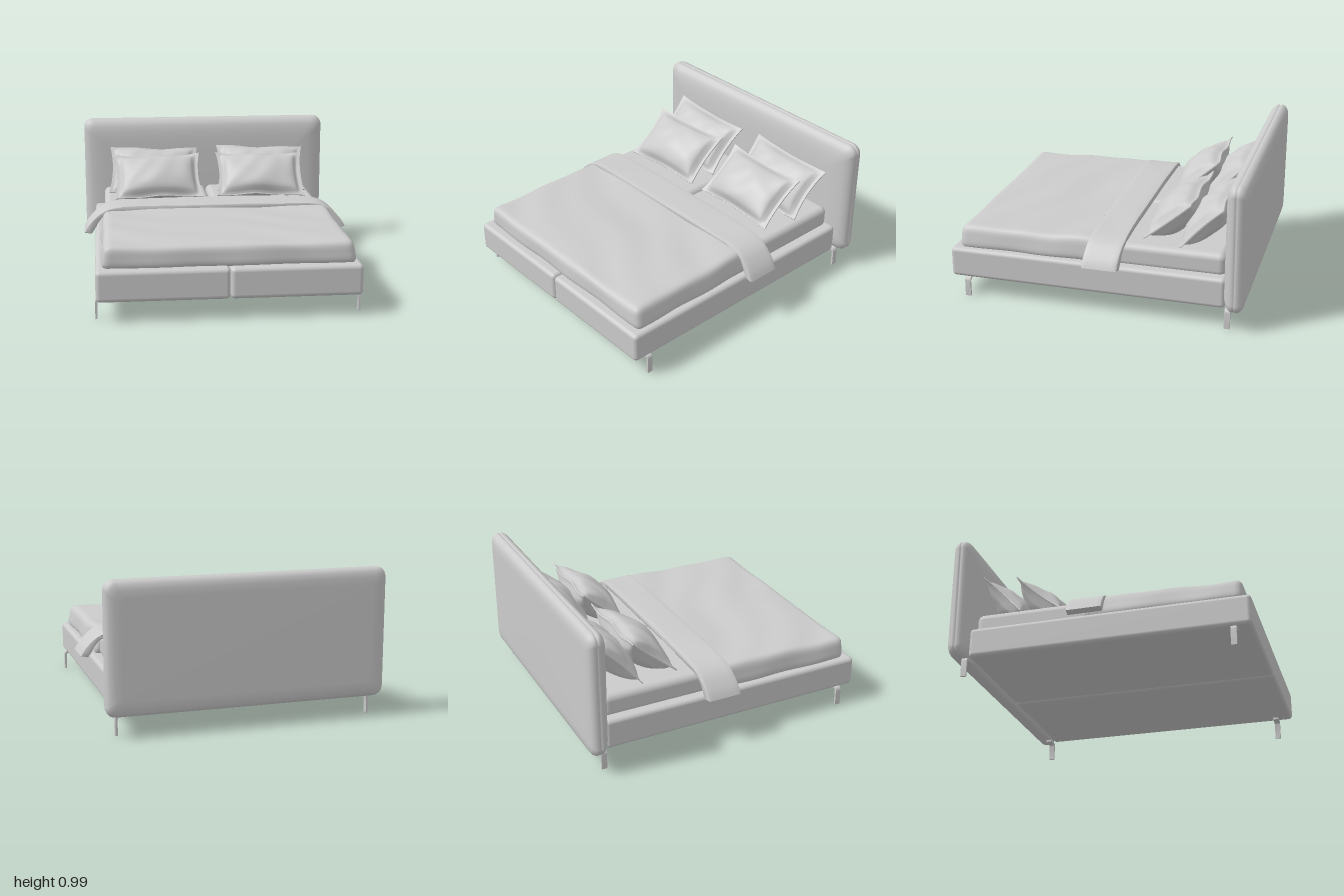
import * as THREE from 'three';
import { mergeVertices, toCreasedNormals } from 'three/addons/utils/BufferGeometryUtils.js';
import { RoundedBoxGeometry } from 'three/addons/geometries/RoundedBoxGeometry.js';

const grey = new THREE.MeshStandardMaterial({ color: 0xcccccc, side: THREE.DoubleSide });
const clamp = THREE.MathUtils.clamp;

function add(parent, name, geometry, x = 0, y = 0, z = 0) {
  const mesh = new THREE.Mesh(geometry, grey);
  mesh.name = name;
  mesh.position.set(x, y, z);
  parent.add(mesh);
  return mesh;
}

// Moves every vertex by a rule and refreshes the normals
function deform(geometry, rule) {
  const p = geometry.attributes.position, v = new THREE.Vector3();
  for (let i = 0; i < p.count; i++) {
    rule(v.fromBufferAttribute(p, i));
    p.setXYZ(i, v.x, v.y, v.z);
  }
  geometry.computeVertexNormals();
  return geometry;
}

// Finely divided box with rounded edges, welded so that it shades smoothly
function softBox(w, h, d, r, nx, ny, nz, rule) {
  let g = new THREE.BoxGeometry(w, h, d, nx, ny, nz);
  g.deleteAttribute('uv');
  g.deleteAttribute('normal');
  g = mergeVertices(g);
  const inner = new THREE.Vector3(), lim = new THREE.Vector3(w / 2 - r, h / 2 - r, d / 2 - r);
  return deform(g, (v) => {
    inner.copy(v).clamp(lim.clone().negate(), lim);
    v.sub(inner);
    const m = Math.max(Math.abs(v.x), Math.abs(v.y), Math.abs(v.z));
    if (m > 0) v.setLength(m);
    v.add(inner);
    rule(v);
  });
}

// Upholstered panel: rounded-rectangle rings stacked along z, each [z, inset]
function cushionPanel(halfW, y0, y1, radius, profile) {
  const pos = [], idx = [], perCorner = 10, n = perCorner * 4;
  const cy = (y0 + y1) / 2, halfH = (y1 - y0) / 2;
  for (const [z, inset] of profile) {
    const r = Math.max(radius - inset * 0.3, 0.02);
    for (let i = 0; i < n; i++) {
      const c = Math.floor(i / perCorner);
      const a = (c + (i % perCorner) / (perCorner - 1)) * Math.PI / 2;
      const sx = c === 0 || c === 3 ? 1 : -1, sy = c < 2 ? 1 : -1;
      pos.push(sx * (halfW - inset - r) + r * Math.cos(a), cy + sy * (halfH - inset - r) + r * Math.sin(a), z);
    }
  }
  for (let k = 0; k < profile.length - 1; k++) {
    for (let i = 0; i < n; i++) {
      const a = k * n + i, b = k * n + (i + 1) % n;
      idx.push(a, b, b + n, a, b + n, a + n);
    }
  }
  const last = (profile.length - 1) * n, c0 = pos.length / 3;
  pos.push(0, cy, profile[0][0], 0, cy, profile[profile.length - 1][0]);
  for (let i = 0; i < n; i++) {
    const j = (i + 1) % n;
    idx.push(c0, j, i, c0 + 1, last + i, last + j);
  }
  const g = new THREE.BufferGeometry();
  g.setAttribute('position', new THREE.Float32BufferAttribute(pos, 3));
  g.setIndex(idx);
  g.computeVertexNormals();
  return g;
}

// Pillow with a flat flange, pinched sides and a slumped underside
function pillow({ w, h, front, back, tilt, roll, x, y, z, minZ, seed }) {
  const g = new THREE.BoxGeometry(2, 2, 2, 40, 30, 1);
  const turn = new THREE.Euler(-tilt, 0, roll, 'XYZ');
  return deform(g, (p) => {
    const u = p.x, v = p.y, side = Math.sign(p.z);
    const iu = clamp(u / 0.9, -1, 1), iv = clamp(v / 0.88, -1, 1);
    const bulge = Math.pow((1 - iu * iu) * (1 - iv * iv), 0.42) * (1 - 0.12 * v);
    const crease = 0.006 * bulge * Math.sin(7 * u + 5 * v * u + seed) * Math.sin(4 * v - 3 * u + seed * 2);
    const wave = 0.008 * Math.sin(6 * u + seed) * v * v;
    p.set(
      w / 2 * u * (1 - 0.07 * (1 - v * v)),
      h / 2 * v * (1 - 0.08 * (1 - u * u)),
      side * (0.004 + bulge * (side > 0 ? front : back)) + crease + wave
    );
    p.applyEuler(turn);
    p.set(p.x + x, Math.max(p.y + y, 0.474 + 0.008 * (side + 1) / 2), Math.max(p.z + z, minZ));
  });
}

// Throw: draped strip cross-section
function throwGeometry() {
  const upper = [[0.922, 0.345], [0.895, 0.39], [0.85, 0.44], [0.8, 0.478], [0.73, 0.503], [0.6, 0.514], [0.3, 0.518]];
  const lower = [[0.3, 0.485], [0.6, 0.483], [0.72, 0.478], [0.79, 0.46], [0.83, 0.42], [0.855, 0.375], [0.88, 0.338]];
  const smooth = (pts) => new THREE.SplineCurve(pts.map(([x, y]) => new THREE.Vector2(x, y))).getPoints(24);
  const flip = (pts) => pts.map((p) => new THREE.Vector2(-p.x, p.y)).reverse();
  const up = smooth(upper), low = smooth(lower);
  const shape = new THREE.Shape([...up, ...flip(up), ...flip(low), ...low]);
  const g = new THREE.ExtrudeGeometry(shape, {
    depth: 0.22, steps: 8, bevelEnabled: true, bevelThickness: 0.008, bevelSize: 0.005, bevelSegments: 2
  });
  deform(g, (v) => {
    const hang = clamp((Math.abs(v.x) - 0.76) / 0.16, 0, 1);
    v.z += -0.188 + 0.018 * hang;
    v.y += 0.003 * Math.sin(v.x * 9 + v.z * 12) * (1 - hang);
  });
  return toCreasedNormals(g, 0.7);
}

// Leg: bent flat bar, its foot outside and its mounting tab inside
function legGeometry() {
  const s = new THREE.Shape();
  s.moveTo(0.77, 0.135);
  s.lineTo(0.83, 0.135);
  s.quadraticCurveTo(0.857, 0.135, 0.857, 0.1);
  s.lineTo(0.857, 0);
  s.lineTo(0.843, 0);
  s.lineTo(0.843, 0.1);
  s.quadraticCurveTo(0.843, 0.12, 0.825, 0.12);
  s.lineTo(0.77, 0.12);
  s.closePath();
  const g = new THREE.ExtrudeGeometry(s, { depth: 0.038, bevelEnabled: false, curveSegments: 8 });
  g.translate(0, 0, -0.019);
  return toCreasedNormals(g, 0.6);
}

export function createModel() {
  const bed = new THREE.Group();
  bed.name = 'bed';

  // Headboard: two cushions meeting at a seam
  add(bed, 'headboard', cushionPanel(0.93, 0.132, 0.992, 0.065, [
    [-1.0, 0.11], [-0.998, 0.06], [-0.99, 0.028], [-0.975, 0.009], [-0.955, 0.001], [-0.942, 0.002], [-0.936, 0.009],
    [-0.93, 0.002], [-0.915, 0.003], [-0.898, 0.012], [-0.882, 0.03], [-0.87, 0.055], [-0.861, 0.1], [-0.856, 0.16], [-0.854, 0.25]
  ]));

  for (const side of [1, -1]) {
    const label = side > 0 ? 'left' : 'right';
    // Base and mattress halves
    add(bed, label + 'Base', new RoundedBoxGeometry(0.851, 0.205, 1.87, 5, 0.028), side * 0.4265, 0.2365, 0.065);
    add(bed, label + 'Mattress', new RoundedBoxGeometry(0.78, 0.16, 1.78, 5, 0.045), side * 0.392, 0.395, 0.035);
    // Legs
    for (const [end, z] of [['Front', 0.885], ['Back', -0.89]]) {
      const leg = add(bed, label + end + 'Leg', legGeometry(), 0, 0, z);
      if (side < 0) leg.rotation.y = Math.PI;
    }
  }

  // Duvet: flared skirt, lightly creased top
  add(bed, 'duvet', softBox(1.6, 0.155, 1.06, 0.04, 80, 8, 56, (v) => {
    const top = clamp(v.y / 0.155 + 0.5, 0, 1);
    const fold = 0.004 * Math.sin(9 * v.z - 4 * v.x + 2 * Math.sin(3 * v.x))
      + 0.003 * Math.sin(17 * v.z - 7 * v.x + Math.sin(6 * v.x + 1));
    const ripple = 0.005 * Math.sin(11 * v.x + 13 * v.z) * (1 - top);
    v.x *= 1.025 - 0.035 * top;
    v.x += Math.sign(v.x) * ripple * clamp((Math.abs(v.x) - 0.6) * 6, 0, 1);
    if (v.z > 0.45) v.z += ripple + 0.008 * (1 - top);
    v.y += 0.408 + top * (fold + 0.004 - 0.016 * v.z);
    v.z += 0.41;
  }));

  add(bed, 'throw', throwGeometry());

  // Pillows
  const frontPillow = { w: 0.65, h: 0.41, front: 0.095, back: 0.13, tilt: 0.87, y: 0.625, z: -0.465, minZ: -0.85 };
  const backPillow = { w: 0.67, h: 0.41, front: 0.085, back: 0.12, tilt: 0.76, y: 0.628, z: -0.69, minZ: -0.85 };
  add(bed, 'rightFrontPillow', pillow({ ...frontPillow, x: -0.385, roll: 0.02, seed: 1 }));
  add(bed, 'leftFrontPillow', pillow({ ...frontPillow, x: 0.38, roll: -0.03, seed: 2.4 }));
  add(bed, 'rightBackPillow', pillow({ ...backPillow, x: -0.405, roll: -0.04, seed: 3.7 }));
  add(bed, 'leftBackPillow', pillow({ ...backPillow, x: 0.415, roll: -0.04, seed: 5.1 }));

  return bed;
}
